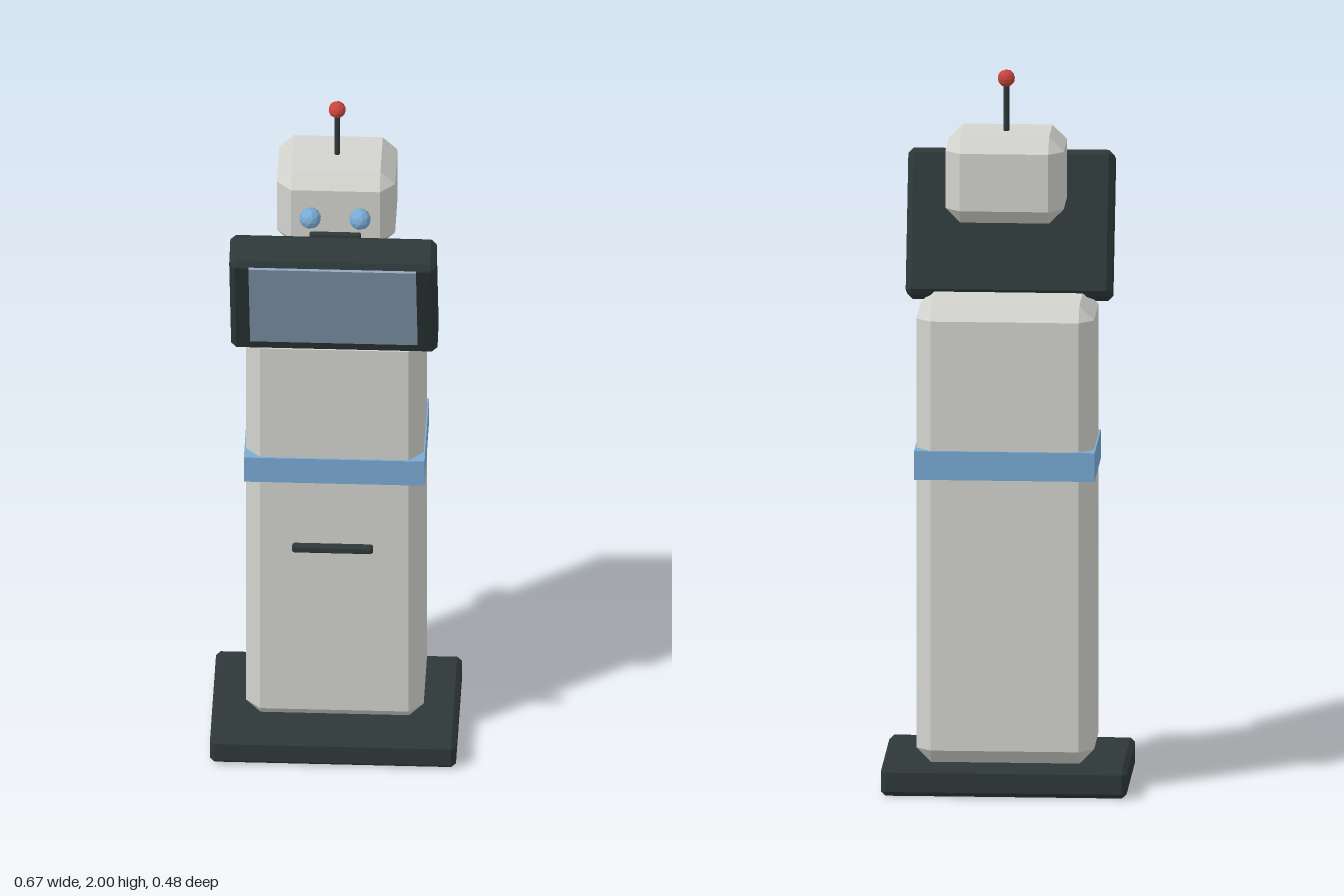
import * as THREE from 'three';
import { ConvexGeometry } from 'three/addons/geometries/ConvexGeometry.js';

const mat = (name, color, flatShading = false) => {
  const m = new THREE.MeshStandardMaterial({ color, flatShading });
  m.name = name;
  return m;
};

// Box with a single flat chamfer on every edge
function chamferBox(w, h, d, c) {
  const pts = [];
  for (const x of [-1, 1]) for (const y of [-1, 1]) for (const z of [-1, 1]) {
    for (let axis = 0; axis < 3; axis++) {
      const inset = [c, c, c];
      inset[axis] = 0;
      pts.push(new THREE.Vector3(
        x * (w / 2 - inset[0]), y * (h / 2 - inset[1]), z * (d / 2 - inset[2])));
    }
  }
  return new ConvexGeometry(pts);
}

export function createModel() {
  const shell = mat('light grey shell', 0xd3d3ce);
  const dark = mat('dark trim', 0x2e3838);
  const blue = mat('blue accent', 0x7aaad4, true);
  const glass = mat('screen glass', 0x8fa5bd);
  const red = mat('red light', 0xc8443e, true);

  const model = new THREE.Group();
  model.name = 'kioskRobot';
  const add = (name, geometry, material, x, y, z, parent = model) => {
    const mesh = new THREE.Mesh(geometry, material);
    mesh.name = name;
    mesh.position.set(x, y, z);
    parent.add(mesh);
    return mesh;
  };

  // Pedestal and body
  add('base', chamferBox(0.67, 0.08, 0.435, 0.013), dark, 0, 0.04, -0.0225);
  add('body', chamferBox(0.484, 1.275, 0.29, 0.04), shell, 0, 0.7175, -0.05);
  add('waistBand', new THREE.BoxGeometry(0.492, 0.08, 0.3), blue, 0, 0.915, -0.05);
  add('frontSlot', chamferBox(0.22, 0.024, 0.022, 0.005), dark, 0, 0.735, 0.207);

  // Tilted display
  const display = new THREE.Group();
  display.name = 'display';
  display.position.set(0, 1.52, 0.117);
  display.rotation.x = 0.35;
  model.add(display);
  add('displayFrame', chamferBox(0.562, 0.405, 0.11, 0.015), dark, 0, 0, 0, display);
  add('screen', new THREE.BoxGeometry(0.456, 0.34, 0.008), glass, 0, 0.019, 0.0568, display);

  // Head and face
  add('head', chamferBox(0.322, 0.24, 0.244, 0.04), shell, 0, 1.71, -0.103);
  for (const side of [-1, 1]) {
    const eye = add(side > 0 ? 'leftEye' : 'rightEye',
      new THREE.IcosahedronGeometry(0.03, 1), blue, side * 0.068, 1.71, 0.034);
    eye.rotation.z = -0.5536;
  }
  add('mouth', chamferBox(0.14, 0.018, 0.016, 0.004), dark, 0, 1.653, 0.033);

  // Antenna
  add('antennaRod', new THREE.CylinderGeometry(0.008, 0.008, 0.15, 8), dark, 0, 1.895, -0.103);
  const tip = add('antennaTip', new THREE.IcosahedronGeometry(0.024, 1), red, 0, 1.976, -0.103);
  tip.rotation.z = -0.5536;

  return model;
}
